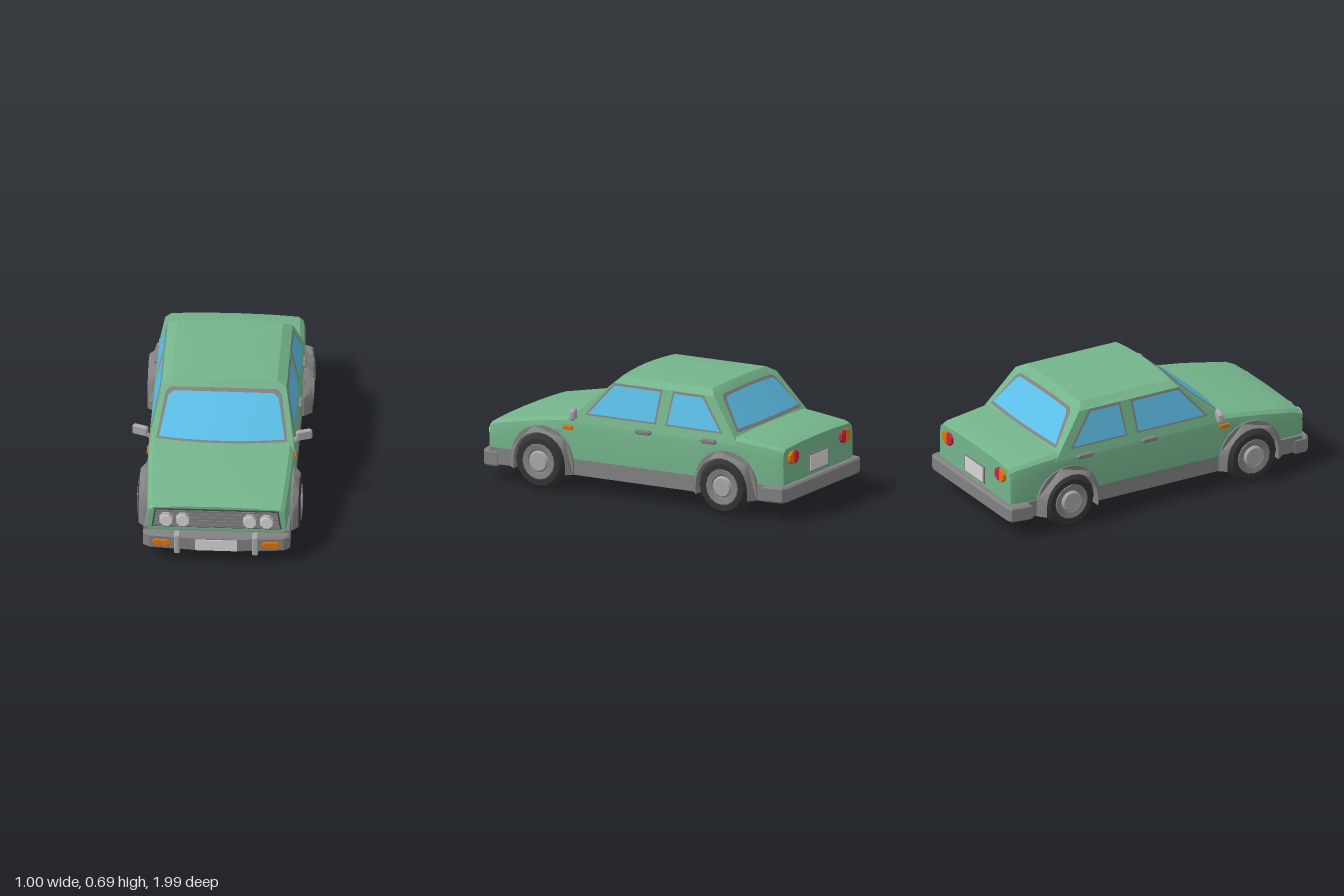
import * as THREE from 'three';
import { toCreasedNormals } from 'three/addons/utils/BufferGeometryUtils.js';

const lerp = THREE.MathUtils.lerp;
const mat = (name, color) => {
  const m = new THREE.MeshStandardMaterial({ color });
  m.name = name;
  return m;
};

export function createModel() {
  const car = new THREE.Group();
  car.name = 'car';
  const paint = mat('green paint', 0x74b48b);
  const glass = mat('blue glass', 0x5fc4ee);
  const trim = mat('grey trim', 0x828282);
  const rubber = mat('black rubber', 0x333333);
  const gap = mat('dark grille gap', 0x4a4a4a);
  const metal = mat('light metal', 0xa8a8a8);
  const pale = mat('pale lamp and plate', 0xd6d6d6);
  const amber = mat('amber lens', 0xe47206);
  const red = mat('red lens', 0xc82442);

  const add = (name, geo, material, x = 0, y = 0, z = 0) => {
    const m = new THREE.Mesh(toCreasedNormals(geo, 0.45), material);
    m.name = name;
    m.position.set(x, y, z);
    car.add(m);
    return m;
  };
  const box = (name, material, w, h, d, x, y, z) => add(name, new THREE.BoxGeometry(w, h, d), material, x, y, z);

  // Surface grid; its front is the side of du x dv
  const patch = (nu, nv, fn, extra = []) => {
    const pos = [...extra];
    for (let i = 0; i < nu; i++) for (let j = 0; j < nv; j++) {
      const a = fn(i, j), b = fn(i + 1, j), c = fn(i + 1, j + 1), d = fn(i, j + 1);
      pos.push(...a, ...b, ...c, ...a, ...c, ...d);
    }
    const g = new THREE.BufferGeometry();
    g.setAttribute('position', new THREE.Float32BufferAttribute(pos, 3));
    return g;
  };
  const slab = (pts, depth, bevel = 0) => new THREE.ExtrudeGeometry(
    new THREE.Shape(pts.map(p => new THREE.Vector2(...p))),
    { depth: depth - 2 * bevel, bevelEnabled: bevel > 0, bevelSize: bevel, bevelThickness: bevel, bevelSegments: 1, bevelOffset: -bevel });
  const chamfered = (w, h, c) => [[-w + c, -h], [w - c, -h], [w, -h + c], [w, h - c], [w - c, h], [-w + c, h], [-w, h - c], [-w, -h + c]];

  // Lower body: sections along z, with the sides cut up over the wheels
  const wheelZ = [0.57, -0.61], wheelY = 0.16, wellR = 0.183;
  const keys = [[-0.965, 0.385, 0.41], [-0.93, 0.395, 0.422], [-0.67, 0.41, 0.45], [0.4, 0.41, 0.44],
    [0.6, 0.406, 0.412], [0.87, 0.392, 0.362], [0.925, 0.385, 0.338]];
  const at = (z, k) => {
    let i = 0;
    while (i < keys.length - 2 && z > keys[i + 1][0]) i++;
    return lerp(keys[i][k], keys[i + 1][k], (z - keys[i][0]) / (keys[i + 1][0] - keys[i][0]));
  };
  const zs = keys.map(k => k[0]).filter(z => wheelZ.every(w => Math.abs(z - w) > 0.184));
  for (const w of wheelZ) for (let i = 0; i <= 10; i++) zs.push(w + wellR * Math.cos(lerp(0.165, Math.PI - 0.165, i / 10)));
  zs.sort((a, b) => b - a);
  const section = z => {
    const w = at(z, 1), top = at(z, 2);
    let low = 0.185;
    for (const c of wheelZ) if (Math.abs(z - c) < wellR) low = Math.max(low, wheelY + Math.sqrt(wellR ** 2 - (z - c) ** 2));
    const half = [[w - 0.004, low], [w, Math.max(top - 0.08, low + 0.005)], [w - 0.008, top - 0.03], [w - 0.03, top - 0.012], [w * 0.5, top - 0.003]];
    return [...half, [0, top], ...half.reverse().map(([x, y]) => [-x, y])].map(([x, y]) => [x, y, z]);
  };
  const rings = zs.map(section);
  const caps = [];
  for (const [ring, front] of [[rings[0], true], [rings[rings.length - 1], false]]) {
    ring.forEach((p, i) => {
      const q = ring[(i + 1) % ring.length], c = [0, 0.27, p[2]];
      caps.push(...c, ...(front ? p : q), ...(front ? q : p));
    });
  }
  add('lowerBody', patch(zs.length - 1, 10, (i, j) => rings[i][j], caps), paint);

  // Cabin: rings at the belt, window top and roof edge, then a crowned roof
  const sideX = y => 0.4 - (y - 0.43) * 0.25;
  const frontZ = (x, y) => 0.421 - (y - 0.44) * 1.2 - 0.26 * x * x;
  const rearZ = (x, y) => -0.672 + (y - 0.44) * 0.8 + 0.1 * x * x;
  const across = [-1, -0.91, -0.6, -0.3, 0, 0.3, 0.6, 0.91, 1];
  const N = across.length - 1;
  const cabinPoint = (i, level) => {
    i %= 2 * N + 2;
    const front = i <= N, t = front ? across[i] : -across[i - N - 1];
    const x = t * [sideX(0.4), 0.347, 0.295][level];
    if (level === 2) return [x, (front ? 0.682 : 0.684) - 0.11 * x * x, front ? 0.14 - 0.2 * x * x : -0.468 + 0.1 * x * x];
    const y = level ? 0.655 - 0.1 * x * x : 0.4;
    return [x, y, (front ? frontZ : rearZ)(x, y)];
  };
  add('cabin', patch(2 * N + 2, 2, cabinPoint), paint);
  add('roof', patch(N, 6, (i, j) => {
    const a = cabinPoint(i, 2), b = cabinPoint(2 * N + 1 - i, 2), v = j / 6;
    const crown = 0.028 * v * (1 - v) * (1 - across[i] ** 2);
    return [a[0], lerp(a[1], b[1], v) + crown, lerp(a[2], b[2], v)];
  }), paint);

  // Windscreen and rear window, with clipped top corners, each on a slightly larger frame
  const screen = (name, m, s, surf, wBase, wTop, y0, y1, off) => add(name, patch(N, 2, (i, j) => {
    const v = j / 2, t = across[i], x = s * t * lerp(wBase, wTop, v);
    const y = lerp(y0, y1 - 0.1 * x * x - (Math.abs(t) === 1 ? 0.018 : 0), v);
    return [x, y + off, surf(x, y) + s * off];
  }), m);
  screen('windscreenFrame', trim, 1, frontZ, 0.366, 0.324, 0.438, 0.646, 0.004);
  screen('windscreen', glass, 1, frontZ, 0.35, 0.308, 0.446, 0.63, 0.007);
  screen('rearWindowFrame', trim, -1, rearZ, 0.355, 0.292, 0.452, 0.645, 0.004);
  screen('rearWindow', glass, -1, rearZ, 0.338, 0.274, 0.466, 0.629, 0.007);

  // Side windows: [front bottom z, front top z, rear top z, rear bottom z]
  const sideWindow = (name, m, s, [fb, ft, rt, rb], y0, y1, off) => add(name, patch(1, 1, (i, j) => {
    const rear = s > 0 ? i : 1 - i, y = j ? y1 : y0;
    return [s * (sideX(y) + off), y, rear ? (j ? rt : rb) : (j ? ft : fb)];
  }), m);

  // Wheel arch trim: flush with the body outside, flared at the wheel
  const arc = (r, n) => Array.from({ length: n + 1 }, (_, i) => [r * Math.cos(i * Math.PI / n), r * Math.sin(i * Math.PI / n)]);
  const arch = (len) => {
    const g = slab([[0.2, -0.06], ...arc(0.2, 12), [-0.2, -0.06], [-0.165, -0.06], ...arc(0.165, 12).reverse(), [0.165, -0.06]], len);
    const p = g.attributes.position;
    for (let i = 0; i < p.count; i++) {
      const r = Math.hypot(p.getX(i), Math.max(p.getY(i), 0));
      if (p.getZ(i) > len / 2 && r > 0.18) p.setZ(i, 0.026);
    }
    return g;
  };
  const tyreProfile = [[0.09, 0.165], [0.105, 0.18], [0.135, 0.18], [0.158, 0.155], [0.158, 0.025], [0.135, 0], [0, 0]];
  const rimProfile = [[0, 0.172], [0.062, 0.172], [0.07, 0.178], [0.1, 0.184], [0.106, 0.172]];
  const lathe = pts => new THREE.LatheGeometry(pts.map(p => new THREE.Vector2(...p)).reverse(), 16);

  for (const s of [1, -1]) {
    const side = s > 0 ? 'left' : 'right';
    const turn = g => g.rotateY(s * Math.PI / 2);
    sideWindow(side + 'FrontWindowFrame', trim, s, [0.305, 0.142, -0.17, -0.155], 0.45, 0.642, 0.004);
    sideWindow(side + 'FrontWindow', glass, s, [0.282, 0.136, -0.158, -0.144], 0.46, 0.63, 0.007);
    sideWindow(side + 'RearWindowFrame', trim, s, [-0.215, -0.237, -0.435, -0.587], 0.45, 0.642, 0.004);
    sideWindow(side + 'RearWindowPane', glass, s, [-0.227, -0.248, -0.43, -0.565], 0.46, 0.63, 0.007);

    // Wheels, wells and arches
    wheelZ.forEach((z, k) => {
      const end = k ? 'Rear' : 'Front';
      const spin = g => g.rotateZ(-s * Math.PI / 2);
      add(side + end + 'Tyre', spin(lathe(tyreProfile)), rubber, s * 0.273, wheelY - 0.002, z);
      add(side + end + 'Rim', spin(lathe(rimProfile)), trim, s * 0.273, wheelY, z);
      add(side + end + 'Hubcap', spin(new THREE.CylinderGeometry(0.052, 0.068, 0.02, 12)), metal, s * 0.45, wheelY, z);
      add(side + end + 'Arch', turn(arch(k ? 0.07 : 0.055)), trim, s * 0.39, wheelY, z);
      add(side + end + 'WheelWell', turn(slab([...arc(wellR, 10), ...arc(0.178, 10).reverse()], 0.15)), trim, s * 0.25, wheelY, z);
    });

    // Handles, side repeaters and mirrors
    for (const z of [-0.08, -0.5]) {
      add(side + 'DoorHandle', turn(slab(chamfered(0.05, 0.013, 0.01), 0.03, 0.005)), trim, s * 0.4, 0.4, z);
    }
    add(side + 'Repeater', turn(slab(chamfered(0.032, 0.012, 0.005), 0.02, 0.004)), amber, s * 0.4, 0.368, 0.405);
    const mirror = add(side + 'Mirror', slab(chamfered(0.045, 0.029, 0.008), 0.03, 0.006), metal, s * 0.453, 0.461, 0.335);
    mirror.rotation.y = s * 0.35;
    const stem = box(side + 'MirrorStem', metal, 0.06, 0.018, 0.018, s * 0.405, 0.435, 0.36);
    stem.rotation.z = s * 0.6;

    // Headlamps, front indicators and bumper guards
    for (const x of [0.28, 0.187]) {
      const ring = new THREE.CylinderGeometry(0.038, 0.044, 0.04, 8).rotateY(Math.PI / 8).rotateX(Math.PI / 2);
      add(side + 'HeadlampHousing', ring, metal, s * x, 0.265, 0.94);
      add(side + 'Headlamp', new THREE.CylinderGeometry(0.036, 0.038, 0.008, 8).rotateY(Math.PI / 8).rotateX(Math.PI / 2), pale, s * x, 0.265, 0.963);
    }
    const blinker = add(side + 'Indicator', slab(chamfered(0.05, 0.02, 0.012), 0.018, 0.004), amber, s * 0.305, 0.127, 0.966);
    blinker.rotation.y = s * 0.07;
    add(side + 'BumperGuard', slab(chamfered(0.016, 0.06, 0.005), 0.06, 0.006), metal, s * 0.218, 0.126, 0.94);

    // Tail lamps: amber outer half, red inner half
    const halfLamp = d => [[0, -0.036], [d * 0.026, -0.036], [d * 0.05, -0.016], [d * 0.05, 0.016], [d * 0.026, 0.036], [0, 0.036]];
    add(side + 'TailIndicator', slab(halfLamp(s), 0.02, 0.003), amber, s * 0.285, 0.342, -0.98);
    add(side + 'TailLamp', slab(halfLamp(-s), 0.02, 0.003), red, s * 0.285, 0.342, -0.98);
  }

  // Sills and floor between the wheels, with a narrow floor across the wells
  for (const [z0, z1] of [[0.75, 0.915], [-0.43, 0.39], [-0.955, -0.79]]) {
    box('sill', trim, 0.81, 0.093, z1 - z0, 0, 0.1455, (z0 + z1) / 2);
  }
  box('floorSpine', trim, 0.54, 0.2, 1.84, 0, 0.198, -0.02);

  // Grille
  const trapezoid = (top, low, y0, y1) => [[-low, y0], [low, y0], [top, y1], [-top, y1]];
  add('grilleBack', slab(trapezoid(0.345, 0.362, 0.205, 0.322), 0.008), gap, 0, 0, 0.923);
  for (let i = 0; i < 5; i++) box('grilleBar', trim, 0.705 - i * 0.006, 0.0195, 0.01, 0, 0.2195 + i * 0.0215, 0.93);

  // Bumpers: plan outlines raised upward
  const bumper = (name, plan, h, y) => {
    const outline = [...plan, ...plan.slice().reverse().map(([x, z]) => [-x, z])].map(([x, z]) => [x, -z]);
    add(name, slab(outline, h, 0.01).rotateX(-Math.PI / 2), trim, 0, y + 0.01, 0);
  };
  bumper('frontBumper', [[0.12, 0.987], [0.375, 0.966], [0.41, 0.94], [0.41, 0.86], [0.38, 0.86]], 0.092, 0.083);
  bumper('rearBumper', [[0.4, -1], [0.435, -0.985], [0.45, -0.86], [0.38, -0.86]], 0.09, 0.105);

  // Number plates, left blank
  box('frontPlate', pale, 0.236, 0.068, 0.008, 0, 0.126, 0.988);
  box('rearPlateFrame', trim, 0.21, 0.105, 0.008, 0, 0.265, -0.967);
  box('rearPlate', pale, 0.19, 0.088, 0.008, 0, 0.265, -0.97);
  return car;
}
